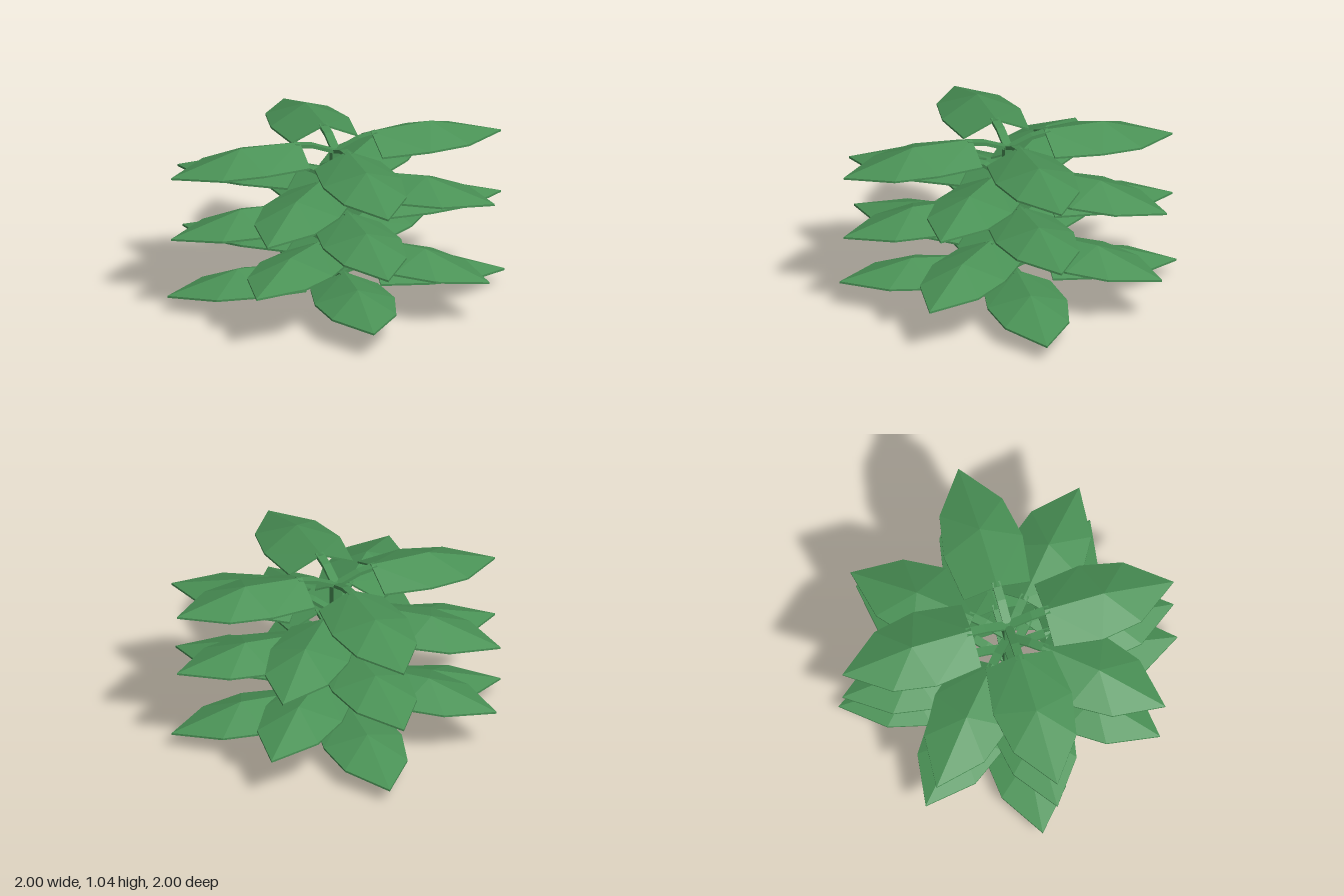
import * as THREE from 'three';

const material = new THREE.MeshStandardMaterial({ color: 0x4a9256, flatShading: true });

// Flat-faced geometry from a list of triangle corners
function fromTriangles(points) {
  const geometry = new THREE.BufferGeometry().setFromPoints(points);
  geometry.computeVertexNormals();
  return geometry;
}

// Thin folded leaf along +x; y = 0 is the stalk's root at the stem
function leafGeometry() {
  const v = (x, y, z) => new THREE.Vector3(x, y, z);
  const base = v(0.22, 0.1, 0), peak = v(0.58, 0.1, 0), tip = v(1, -0.033, 0);
  const side = (s) => [v(0.22, 0.012, 0.2 * s), v(0.5, 0.01, 0.237 * s), v(0.75, -0.008, 0.19 * s)];
  const [i, w, s] = side(1);
  const [i2, w2, s2] = side(-1);
  const top = [
    base, i, w, base, w, peak, peak, w, s, peak, s, tip,
    base, w2, i2, base, peak, w2, peak, s2, w2, peak, tip, s2,
  ];
  const under = (p) => p.clone().setY(p.y - 0.012);
  const points = [...top, ...top.map(under).reverse()];
  // Narrow rim joining the upper and lower skins
  const rim = [base, i, w, s, tip, s2, w2, i2];
  rim.forEach((p, k) => {
    const q = rim[(k + 1) % rim.length];
    points.push(under(p), under(q), q, under(p), q, p);
  });
  return fromTriangles(points);
}

// Rising stalk with a rectangular section and one bend
function stalkGeometry() {
  const path = [[0, 0.015], [0.14, 0.068], [0.25, 0.085]];
  const geometry = new THREE.BoxGeometry(1, 0.022, 0.05, 2, 1, 1);
  const pos = geometry.attributes.position;
  for (let k = 0; k < pos.count; k++) {
    const [x, y] = path[Math.round((pos.getX(k) + 0.5) * 2)];
    pos.setXY(k, x, y + pos.getY(k));
  }
  geometry.computeVertexNormals();
  return geometry;
}

export function createModel() {
  const plant = new THREE.Group();
  plant.name = 'plant';
  const add = (parent, geometry, name) => {
    const mesh = new THREE.Mesh(geometry, material);
    mesh.name = name;
    parent.add(mesh);
  };

  // Square stem
  add(plant, new THREE.BoxGeometry(0.058, 0.93, 0.058).translate(0, 0.465, 0), 'stem');

  // Tiers of four leaves: [height, turn in degrees]; the first leaf is raised a little
  const leaf = leafGeometry(), stalk = stalkGeometry();
  const tiers = [[0.135, 95], [0.315, 135], [0.522, 0], [0.712, 41], [0.9, 0]];
  tiers.forEach(([height, turn], t) => {
    const tier = new THREE.Group();
    tier.name = `leafTier${t + 1}`;
    tier.position.y = height;
    for (let k = 0; k < 4; k++) {
      const branch = new THREE.Group();
      branch.name = 'branch';
      branch.rotation.set(0, -THREE.MathUtils.degToRad(turn + k * 90), k === 0 ? 0.065 : 0);
      add(branch, stalk, 'stalk');
      add(branch, leaf, 'leaf');
      tier.add(branch);
    }
    plant.add(tier);
  });
  return plant;
}
